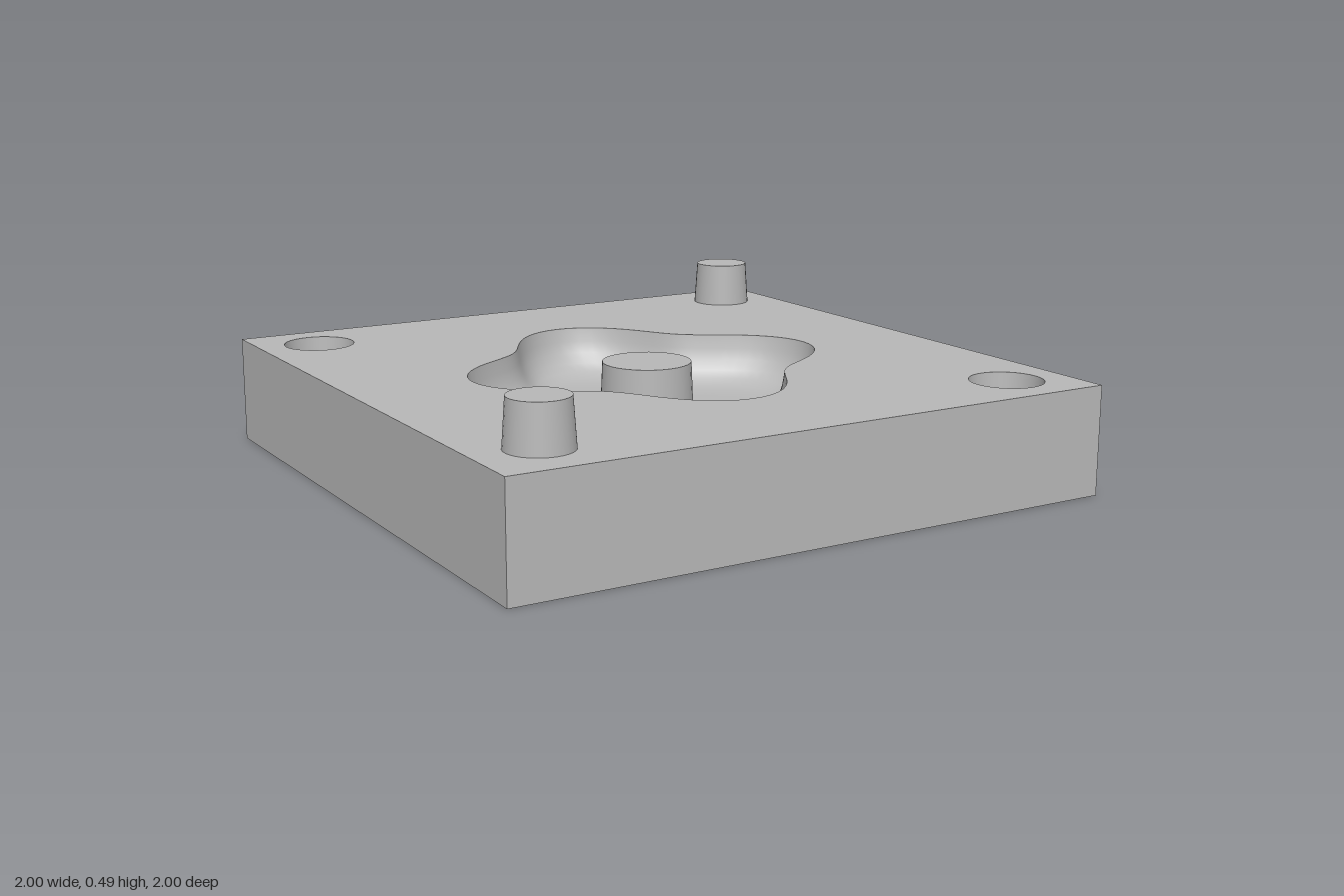
import * as THREE from 'three';
import { mergeVertices } from 'three/addons/utils/BufferGeometryUtils.js';

const TOP = 0.345, SEG = 96, ROUND = 32;
const HOLE_R = 0.115, HOLE_Y = 0.19, FLOOR_Y = 0.175;
const sockets = [[-0.8, -0.8], [0.8, 0.8]];
const pins = [[-0.8, 0.8], [0.8, -0.8]];

// four-lobed outline of the cavity
const lobe = (a) => 0.53 + 0.08 * Math.cos(4 * a);

function ring(n, radius, cx = 0, cy = 0) {
  const pts = [];
  for (let i = 0; i < n; i++) {
    const a = (i / n) * Math.PI * 2;
    pts.push(new THREE.Vector2(cx + radius(a) * Math.cos(a), cy + radius(a) * Math.sin(a)));
  }
  return new THREE.Path(pts);
}

export function createModel() {
  const model = new THREE.Group();
  model.name = 'mouldHalf';
  const grey = new THREE.MeshStandardMaterial({ color: 0xb8b8b8 });
  grey.name = 'grey';

  const add = (name, geometry, x = 0, y = 0, z = 0) => {
    const mesh = new THREE.Mesh(geometry, grey);
    mesh.name = name;
    mesh.position.set(x, y, z);
    model.add(mesh);
    return mesh;
  };

  // block sides and underside: a box without its top face
  const box = new THREE.BoxGeometry(2, TOP, 2);
  const index = Array.from(box.index.array);
  index.splice(12, 6);
  box.setIndex(index);
  box.clearGroups();
  add('block', box, 0, TOP / 2, 0);

  // top face with the cavity and socket openings
  const face = new THREE.Shape([[-1, -1], [1, -1], [1, 1], [-1, 1]].map(([x, y]) => new THREE.Vector2(x, y)));
  face.holes.push(ring(SEG, lobe));
  for (const [x, z] of sockets) face.holes.push(ring(ROUND, () => HOLE_R, x, -z));
  add('topFace', new THREE.ShapeGeometry(face).rotateX(-Math.PI / 2), 0, TOP, 0);

  // cavity: a unit bowl stretched to the lobed outline
  const profile = [
    [1, TOP], [0.985, 0.3], [0.96, 0.262], [0.92, 0.229], [0.87, 0.205],
    [0.8, 0.188], [0.7, 0.179], [0.55, FLOOR_Y], [0.2, FLOOR_Y],
  ].map(([r, y]) => new THREE.Vector2(r, y));
  let bowl = new THREE.LatheGeometry(profile, SEG);
  const p = bowl.attributes.position;
  for (let i = 0; i < p.count; i++) {
    const s = lobe(Math.atan2(p.getZ(i), p.getX(i)));
    p.setXYZ(i, p.getX(i) * s, p.getY(i), p.getZ(i) * s);
  }
  bowl.deleteAttribute('uv');
  bowl.deleteAttribute('normal');
  bowl = mergeVertices(bowl, 1e-5);
  bowl.computeVertexNormals();
  add('cavity', bowl);

  // tapered post standing in the cavity
  const postH = TOP - FLOOR_Y;
  add('centrePost', new THREE.CylinderGeometry(0.143, 0.15, postH, ROUND), 0, FLOOR_Y + postH / 2, 0);

  // tapered alignment pins
  for (const [x, z] of pins) {
    add('alignmentPin', new THREE.CylinderGeometry(0.09, 0.1, 0.145, ROUND), x, TOP + 0.0725, z);
  }

  // matching sockets, walls facing inward
  for (const [x, z] of sockets) {
    const wall = [new THREE.Vector2(HOLE_R, TOP), new THREE.Vector2(0.105, HOLE_Y)];
    add('socketWall', new THREE.LatheGeometry(wall, ROUND), x, 0, z);
    add('socketFloor', new THREE.CircleGeometry(0.105, ROUND).rotateX(-Math.PI / 2), x, HOLE_Y, z);
  }
  return model;
}
